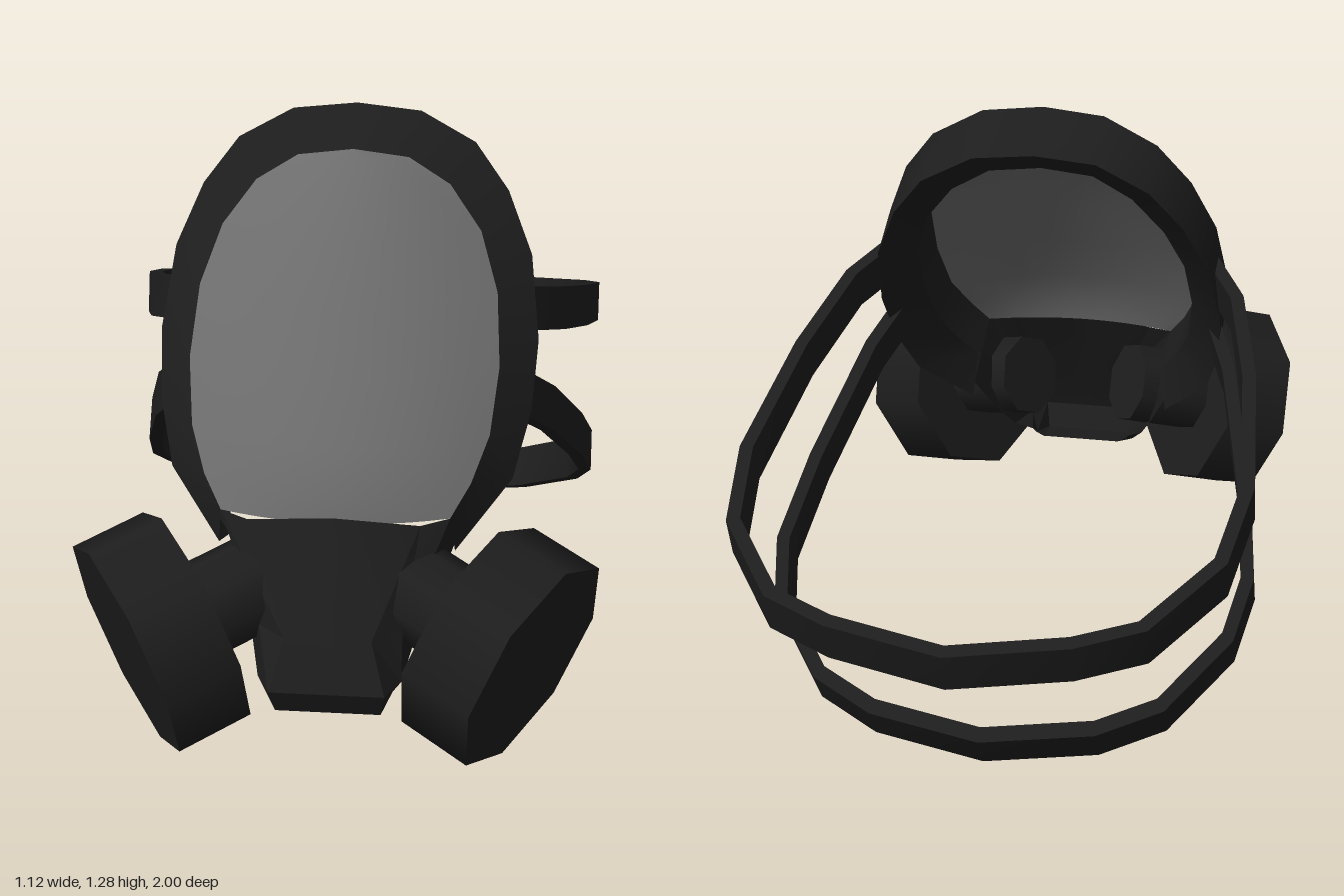
import * as THREE from 'three';
import { toCreasedNormals } from 'three/addons/utils/BufferGeometryUtils.js';

const rubber = new THREE.MeshStandardMaterial({ color: 0x1d1d1d, side: THREE.DoubleSide });
rubber.name = 'black rubber';
const glass = new THREE.MeshStandardMaterial({ color: 0x6c6c6c, side: THREE.DoubleSide });
glass.name = 'grey visor';

// Skin a list of cross-sections (rows of [x, y, z]) with quads
function loft(rows, closed = false) {
  const n = rows[0].length, index = [];
  for (let i = 0; i < rows.length - 1; i++) {
    for (let j = 0; j < (closed ? n : n - 1); j++) {
      const k = (j + 1) % n;
      const a = i * n + j, b = a + n, c = (i + 1) * n + k, d = i * n + k;
      index.push(a, b, c, a, c, d);
    }
  }
  const g = new THREE.BufferGeometry();
  g.setAttribute('position', new THREE.Float32BufferAttribute(rows.flat(2), 3));
  g.setIndex(index);
  g.computeVertexNormals();
  return g;
}

const flip = ([x, y, z]) => [-x, y, z];

function add(group, name, geometry, material) {
  const mesh = new THREE.Mesh(geometry, material);
  mesh.name = name;
  group.add(mesh);
  return mesh;
}

// Front rim of the frame, from top centre down the left side
const outer = [[0, 1.275, 0.10], [0.14, 1.26, 0.10], [0.26, 1.195, 0.11], [0.335, 1.10, 0.15], [0.39, 0.975, 0.21],
  [0.41, 0.82, 0.31], [0.40, 0.69, 0.40], [0.365, 0.57, 0.49], [0.25, 0.45, 0.60]];
const inner = [[0, 1.2, 0.20], [0.12, 1.185, 0.20], [0.21, 1.13, 0.21], [0.28, 1.04, 0.25], [0.32, 0.93, 0.33],
  [0.33, 0.80, 0.43], [0.315, 0.68, 0.515], [0.28, 0.60, 0.585], [0.24, 0.54, 0.63]];

function frameGeometry() {
  const half = outer.map((o, i) => {
    const p = inner[i], dy = 0.003 * i - 0.08, dz = -0.12 - 0.003 * i;
    return [o, p, [p[0], p[1] + dy + 0.02, p[2] + dz - 0.01], [o[0], o[1] + dy, o[2] + dz]];
  });
  const right = half.slice(1).map((row) => row.map(flip));
  return toCreasedNormals(loft([...half.reverse(), ...right], true), 0.6);
}

// Visor bulging forward between the inner edges of the frame
function visorGeometry() {
  const centreZ = [0.20, 0.23, 0.29, 0.37, 0.45, 0.54, 0.62, 0.66, 0.675];
  const rows = inner.map(([x, y, z], i) => {
    const row = [];
    for (let k = -6; k <= 6; k++) {
      const u = k / 6;
      row.push([x * u, y, z + (centreZ[i] - z) * (1 - u * u)]);
    }
    return row;
  });
  return loft(rows);
}

// Hollow nose and mouth cup, open at the back
function mouthGeometry() {
  const rows = [
    [[-0.25, 0.42, 0.48], [-0.24, 0.54, 0.63], [-0.18, 0.535, 0.66], [0, 0.56, 0.69]],
    [[-0.20, 0.31, 0.56], [-0.15, 0.33, 0.735], [-0.09, 0.33, 0.79], [0, 0.33, 0.79]],
    [[-0.17, 0.25, 0.62], [-0.15, 0.225, 0.765], [-0.12, 0.225, 0.83], [0, 0.225, 0.83]],
    [[-0.13, 0.22, 0.66], [-0.13, 0.18, 0.73], [-0.11, 0.165, 0.80], [0, 0.165, 0.80]],
    [[-0.13, 0.22, 0.66], [-0.12, 0.21, 0.66], [-0.10, 0.20, 0.66], [0, 0.20, 0.66]],
  ].map((r) => [...r, ...r.slice(0, 3).reverse().map(flip)]);
  return toCreasedNormals(loft(rows), 0.3);
}

// Flat head strap following half of an [x, z] path, mirrored, on a sloping plane
function strapGeometry(half, y0, z0, slope, halfHeight) {
  const path = [...half, ...half.slice(0, -1).reverse().map(([x, z]) => [-x, z])];
  const len = Math.hypot(1, slope);
  const uy = halfHeight / len, uz = -halfHeight * slope / len;
  const rows = path.map(([x, z], i) => {
    const a = path[Math.max(i - 1, 0)], b = path[Math.min(i + 1, path.length - 1)];
    const tx = b[0] - a[0], tz = b[1] - a[1], l = Math.hypot(tx, tz);
    const ix = x + 0.03 * tz / l, iz = z - 0.03 * tx / l;
    const at = (px, pz, s) => [px, y0 + slope * (pz - z0) + s * uy, pz + s * uz];
    return [at(x, z, -1), at(x, z, 1), at(ix, iz, 1), at(ix, iz, -1)];
  });
  return toCreasedNormals(loft(rows, true), 0.6);
}

// Eight-sided filter can with its connecting pipe
function filterGroup(side) {
  const g = new THREE.Group();
  g.name = side > 0 ? 'leftFilter' : 'rightFilter';
  const axis = new THREE.Vector3(0.83 * side, -0.28, 0.49).normalize();
  const up = new THREE.Vector3(0, 1, 0).addScaledVector(axis, -axis.y).normalize();
  const across = new THREE.Vector3().crossVectors(axis, up);
  g.quaternion.setFromRotationMatrix(new THREE.Matrix4().makeBasis(across, axis, up));
  g.position.set(0.353 * side, 0.317, 0.753);
  add(g, 'filterCan', new THREE.CylinderGeometry(0.243, 0.243, 0.165, 8), rubber);
  add(g, 'filterPipe', new THREE.CylinderGeometry(0.105, 0.105, 0.2, 8), rubber).position.y = -0.17;
  return g;
}

export function createModel() {
  const model = new THREE.Group();
  model.name = 'respiratorMask';
  add(model, 'frame', frameGeometry(), rubber);
  add(model, 'visor', visorGeometry(), glass);
  add(model, 'mouthCup', mouthGeometry(), rubber);
  add(model, 'upperStrap', strapGeometry([[0.39, 0.24], [0.47, 0.1], [0.525, -0.15], [0.558, -0.48], [0.525, -0.69],
    [0.39, -0.875], [0.25, -0.935], [0, -0.985]], 0.84, 0.18, 0.35, 0.048), rubber);
  add(model, 'lowerStrap', strapGeometry([[0.385, 0.33], [0.45, 0.19], [0.52, -0.08], [0.55, -0.27], [0.52, -0.4],
    [0.39, -0.55], [0.25, -0.61], [0, -0.645]], 0.66, 0.27, 0.68, 0.05), rubber);
  for (const side of [1, -1]) model.add(filterGroup(side));
  return model;
}
